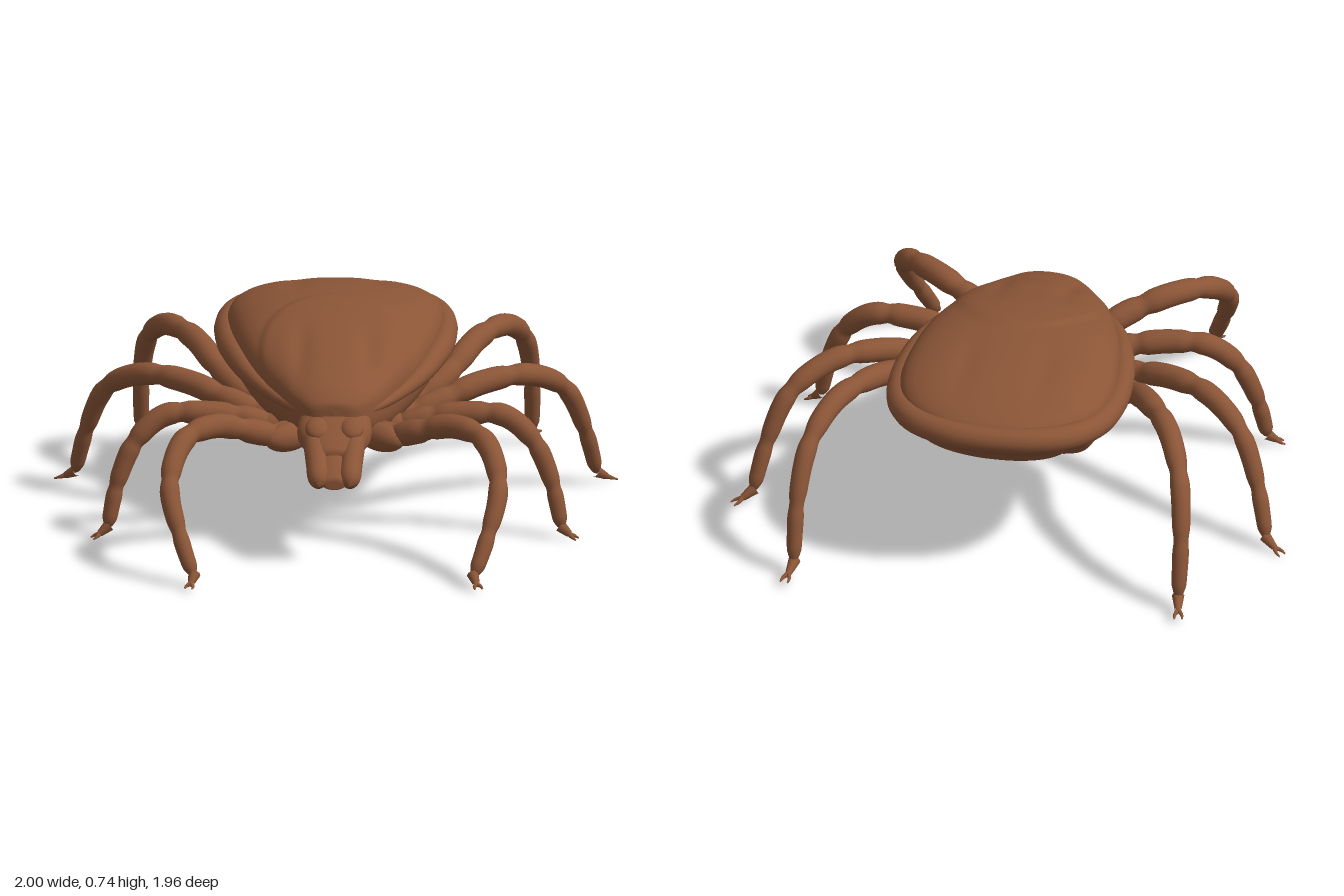
import * as THREE from 'three';
import { mergeVertices } from 'three/addons/utils/BufferGeometryUtils.js';

const brown = new THREE.MeshStandardMaterial({ color: 0x8b5537 });
brown.name = 'brown';

const V = (p) => new THREE.Vector3(...p);
const smooth = THREE.MathUtils.smoothstep;
const bump = (x, centre, width) => Math.exp(-(((x - centre) / width) ** 2));

function add(parent, name, geometry) {
  const mesh = new THREE.Mesh(geometry, brown);
  mesh.name = name;
  parent.add(mesh);
  return mesh;
}

// Smooth skin over sections [z, halfWidth, middleY, topY, bottomY], front to back
function loft(sections, steps, sides, powTop, powLow, shape) {
  const a = new THREE.CatmullRomCurve3(sections.map((s) => V([s[0], s[1], s[2]])), false, 'centripetal');
  const b = new THREE.CatmullRomCurve3(sections.map((s) => V([s[3], s[4], 0])), false, 'catmullrom', 0.4);
  const pos = [], index = [];
  for (let i = 0; i <= steps; i++) {
    const p = a.getPoint(i / steps), q = b.getPoint(i / steps);
    for (let j = 0; j < sides; j++) {
      const t = (j / sides) * Math.PI * 2, s = Math.sin(t);
      const v = new THREE.Vector3(Math.max(p.y, 0) * Math.cos(t), p.z, p.x);
      v.y += s > 0 ? (q.x - p.z) * s ** powTop : (q.y - p.z) * (-s) ** powLow;
      if (shape) shape(v, s);
      pos.push(v.x, v.y, v.z);
      if (i < steps) {
        const k = (j + 1) % sides, r = i * sides, n = r + sides;
        index.push(r + j, n + j, r + k, n + j, n + k, r + k);
      }
    }
  }
  const g = new THREE.BufferGeometry();
  g.setAttribute('position', new THREE.Float32BufferAttribute(pos, 3));
  g.setIndex(index);
  g.computeVertexNormals();
  return g;
}

// Tube whose radius follows a rule along its length
function taperedTube(points, steps, sides, radius) {
  const curve = new THREE.CatmullRomCurve3(points.map(V), false, 'centripetal');
  let g = new THREE.TubeGeometry(curve, steps, 1, sides, false);
  const p = g.attributes.position, v = new THREE.Vector3();
  for (let i = 0; i < p.count; i++) {
    const t = Math.floor(i / (sides + 1)) / steps, c = curve.getPointAt(t);
    v.fromBufferAttribute(p, i).sub(c).multiplyScalar(Math.max(radius(t), 0.0005)).add(c);
    p.setXYZ(i, v.x, v.y, v.z);
  }
  g.deleteAttribute('normal');
  g.deleteAttribute('uv');
  g = mergeVertices(g, 1e-5);
  g.computeVertexNormals();
  return g;
}

function ellipsoid(parent, name, at, size) {
  const m = add(parent, name, new THREE.SphereGeometry(1, 24, 16));
  m.position.set(...at);
  m.scale.set(...size);
  return m;
}

function createBody(group) {
  const sections = [
    [0.43, 0.0, 0.49, 0.50, 0.46], [0.42, 0.08, 0.49, 0.54, 0.42],
    [0.36, 0.145, 0.49, 0.585, 0.38], [0.25, 0.21, 0.5, 0.63, 0.35],
    [0.1, 0.285, 0.53, 0.68, 0.345], [-0.1, 0.345, 0.55, 0.725, 0.345],
    [-0.25, 0.372, 0.56, 0.74, 0.355], [-0.45, 0.385, 0.57, 0.73, 0.38],
    [-0.6, 0.355, 0.575, 0.705, 0.405], [-0.69, 0.29, 0.58, 0.675, 0.46],
    [-0.76, 0.19, 0.58, 0.645, 0.51], [-0.8, 0.08, 0.58, 0.61, 0.55], [-0.81, 0, 0.58, 0.585, 0.575],
  ];
  add(group, 'body', loft(sections, 110, 96, 0.58, 0.75, (v, s) => {
    const ax = Math.abs(v.x);
    if (s > 0) {
      // raised front shield and shallow furrows on the back
      const d = Math.hypot(v.x / 0.27, (v.z - 0.09) / 0.36);
      v.y += 0.009 * (1 - smooth(d, 0.93, 1.03)) * smooth(s, 0, 0.3);
      v.y -= 0.01 * bump(ax, 0.12, 0.035) * bump(v.z, 0.15, 0.15);
      v.y -= 0.007 * bump(ax, 0.14, 0.04) * bump(v.z, -0.5, 0.14);
    } else {
      // curved belly folds
      const fold = Math.sin((v.z + 1.2 * v.x * v.x) * 42);
      v.y += 0.012 * fold * smooth(-s, 0.1, 0.6) * smooth(-v.z, 0, 0.25) * (1 - smooth(-v.z, 0.66, 0.76));
    }
  }));

  // Rounded margin running round the body
  const half = [
    [0.1, 0.50, 0.39], [0.15, 0.505, 0.33], [0.215, 0.515, 0.23], [0.295, 0.54, 0.08],
    [0.348, 0.56, -0.1], [0.378, 0.568, -0.27], [0.384, 0.575, -0.45], [0.355, 0.58, -0.6],
    [0.28, 0.585, -0.71], [0.16, 0.59, -0.775],
  ];
  const path = [...half, [0, 0.59, -0.795], ...half.map(([x, y, z]) => [-x, y, z]).reverse()];
  add(group, 'bodyMargin', taperedTube(path, 120, 16, (t) => {
    const e = Math.min(t, 1 - t) * 2;
    return 0.046 * (0.35 + 0.65 * smooth(e, 0, 0.45)) * smooth(e, -0.01, 0.03);
  }));
}

function createHead(group) {
  const head = new THREE.Group();
  head.name = 'head';
  group.add(head);
  add(head, 'headBase', loft([
    [0.56, 0, 0.39, 0.39, 0.38], [0.55, 0.06, 0.385, 0.415, 0.35], [0.5, 0.095, 0.4, 0.45, 0.35],
    [0.44, 0.128, 0.425, 0.49, 0.355], [0.38, 0.13, 0.44, 0.53, 0.36], [0.3, 0.1, 0.44, 0.53, 0.37],
  ], 30, 32, 0.7, 0.8));
  add(head, 'mouthpart', loft([
    [0.65, 0, 0.31, 0.31, 0.3], [0.645, 0.04, 0.31, 0.335, 0.29], [0.58, 0.055, 0.34, 0.38, 0.31],
    [0.5, 0.05, 0.38, 0.43, 0.34],
  ], 20, 24, 0.7, 0.8));
  for (const s of [1, -1]) {
    add(head, 'palp', taperedTube(
      [[s * 0.075, 0.43, 0.44], [s * 0.066, 0.39, 0.52], [s * 0.058, 0.345, 0.59], [s * 0.055, 0.305, 0.658]],
      24, 16, (t) => 0.04 * Math.sqrt(Math.max(0, 1 - Math.max(0, (t - 0.75) / 0.25) ** 2))));
    const brow = ellipsoid(head, 'headRidge', [s * 0.062, 0.462, 0.46], [0.042, 0.025, 0.05]);
    brow.rotation.x = 0.5;
  }
}

// Each leg runs from its hip to the ankle; the last point is the claw tip
const legs = {
  frontLeg: [[0.12, 0.4, 0.27], [0.21, 0.405, 0.345], [0.29, 0.435, 0.405], [0.42, 0.475, 0.475], [0.53, 0.455, 0.58],
    [0.582, 0.33, 0.74], [0.54, 0.165, 0.85], [0.495, 0.045, 0.915], [0.515, 0.02, 0.975]],
  secondLeg: [[0.12, 0.39, 0.17], [0.24, 0.4, 0.19], [0.33, 0.425, 0.195], [0.46, 0.445, 0.21], [0.6, 0.44, 0.22],
    [0.7, 0.36, 0.245], [0.765, 0.22, 0.265], [0.805, 0.04, 0.29], [0.86, 0.01, 0.31]],
  thirdLeg: [[0.14, 0.39, 0.07], [0.27, 0.4, 0.045], [0.37, 0.43, 0.005], [0.52, 0.475, -0.075], [0.68, 0.475, -0.175],
    [0.81, 0.395, -0.28], [0.88, 0.23, -0.345], [0.925, 0.04, -0.405], [0.99, 0.01, -0.45]],
  rearLeg: [[0.16, 0.39, -0.04], [0.29, 0.41, -0.1], [0.4, 0.475, -0.2], [0.5, 0.545, -0.38], [0.6, 0.545, -0.56],
    [0.665, 0.455, -0.71], [0.69, 0.29, -0.81], [0.692, 0.05, -0.88], [0.71, 0.03, -0.98]],
};

function createLeg(group, name, points, side) {
  const pts = points.map(([x, y, z]) => [x * side, y, z]);
  const leg = new THREE.Group();
  leg.name = (side > 0 ? 'left' : 'right') + name[0].toUpperCase() + name.slice(1);
  group.add(leg);
  // jointed limb, pinched between its segments
  const joints = [0.12, 0.25, 0.45, 0.66, 0.84];
  add(leg, 'limb', taperedTube(pts.slice(0, -1), 80, 16, (t) => {
    const pinch = joints.reduce((m, j) => m + bump(t, j, 0.022), 0);
    return (0.046 - 0.021 * t * t) * (1 - 0.17 * pinch) * Math.sqrt(Math.min(1, (1 - t) * 25));
  }));
  const [ankle, tip] = pts.slice(-2).map(V);
  const dir = tip.clone().sub(ankle), across = V([-dir.z, 0, dir.x]).normalize();
  // small foot with a forked claw
  const start = ankle.clone().addScaledVector(dir, -0.1).setY(ankle.y + 0.012);
  const fork = ankle.clone().addScaledVector(dir, 0.5);
  add(leg, 'foot', taperedTube([start.toArray(), fork.toArray()], 10, 10, (t) => 0.022 - 0.01 * t));
  for (const s of [1, -1]) {
    const end = tip.clone().addScaledVector(across, s * 0.014);
    const mid = fork.clone().lerp(end, 0.5).addScaledVector(across, s * 0.005);
    add(leg, 'claw', taperedTube([fork, mid, end].map((p) => p.toArray()), 8, 8, (t) => 0.01 * (1 - 0.75 * t)));
  }
  // hip plate under the body
  const [hx, hy, hz] = pts[1];
  const hip = ellipsoid(leg, 'hip', [hx * 0.78, hy - 0.008, hz], [0.1, 0.052, 0.05]);
  hip.rotation.y = -Math.atan2(pts[2][2] - pts[0][2], pts[2][0] - pts[0][0]);
}

export function createModel() {
  const model = new THREE.Group();
  model.name = 'tick';
  createBody(model);
  createHead(model);
  for (const [name, points] of Object.entries(legs)) {
    for (const side of [1, -1]) createLeg(model, name, points, side);
  }
  return model;
}
